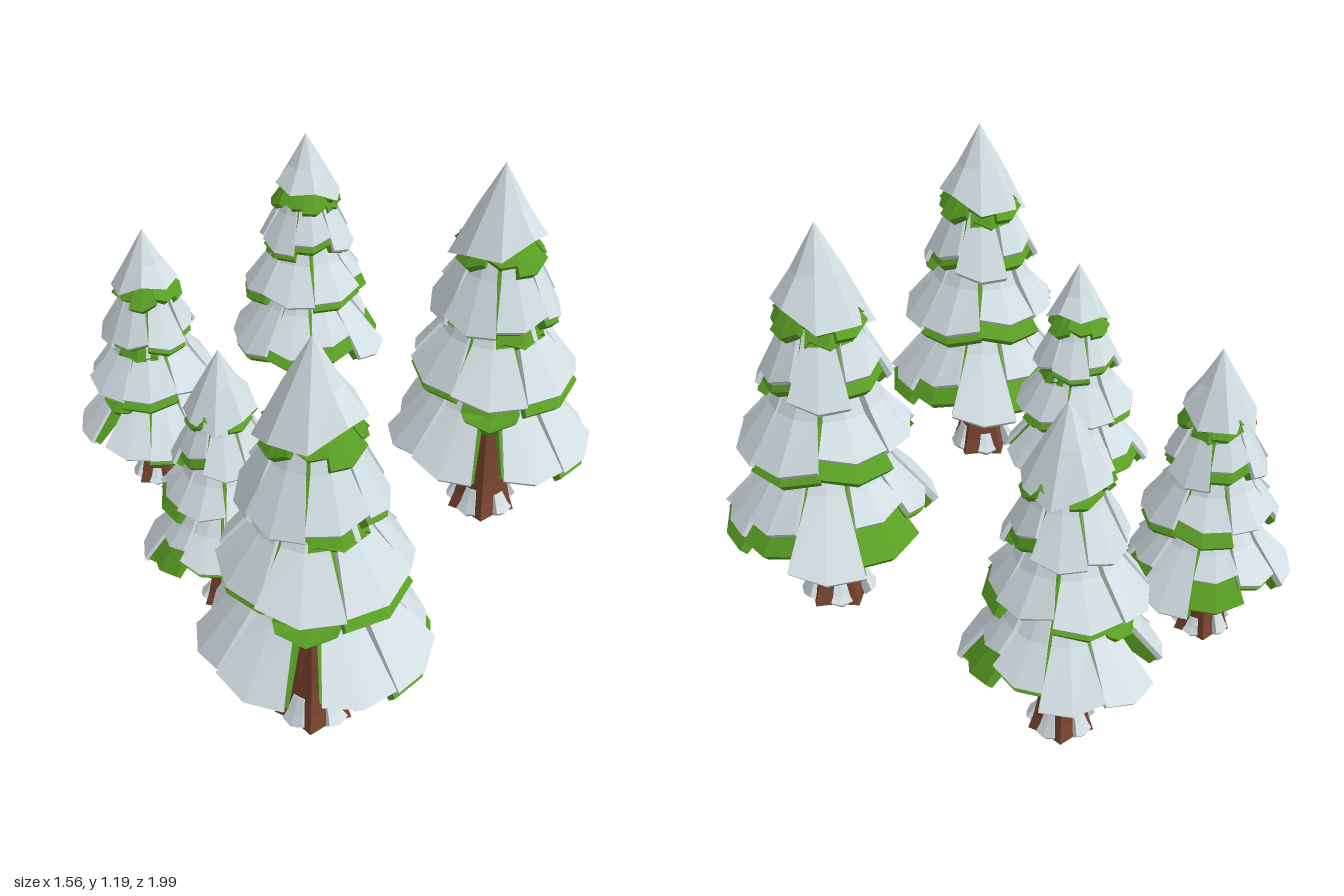
import * as THREE from 'three';
import { mergeGeometries } from 'three/addons/utils/BufferGeometryUtils.js';

const mat = (name, color) => {
  const m = new THREE.MeshStandardMaterial({ color, flatShading: true });
  m.name = name;
  return m;
};
const snow = mat('snow', 0xd3dfe4);
const needles = mat('needle green', 0x5aa024);
const bark = mat('bark brown', 0x7a452f);

const rad = THREE.MathUtils.degToRad;
const lerp = THREE.MathUtils.lerp;

function facet(geometry) {
  const g = geometry.toNonIndexed();
  g.deleteAttribute('uv');
  g.computeVertexNormals();
  return g;
}

// A thick curved slab between two angles (0 = front, 90 = +x), following a
// three-point [radius, height] profile from top to rim. Belly thickens the
// middle, tilt slants the rim, lift raises its corners.
function slab(a0, a1, profile, { out = 0, thick = 0.02, belly = 0, taper = 1, lift = 0.015, tilt = 0 } = {}) {
  const g = new THREE.BoxGeometry(1, 1, 1, 2, 2, 1);
  const p = g.attributes.position;
  for (let i = 0; i < p.count; i++) {
    const x = p.getX(i), row = Math.round((0.5 - p.getY(i)) * 2);
    const off = p.getZ(i) > 0 ? out : out - thick - (row === 1 ? belly : 0);
    let [r, y] = profile[row];
    if (row === 2) {
      y += x * tilt;
      if (Math.abs(x) > 0.4) { r *= 0.98; y += lift; }
    }
    r = Math.max(0.004, r + off * 0.7);
    y += off * 0.7;
    const a = rad((a0 + a1) / 2 + x * (a1 - a0) * lerp(taper, 1, row / 2));
    p.setXYZ(i, r * Math.sin(a), y, r * Math.cos(a));
  }
  return facet(g);
}

// Profile whose lower half is stretched or cut to k of its length
function reach([top, mid, rim], k) {
  return [top, mid, [lerp(mid[0], rim[0], k), lerp(mid[1], rim[1], k)]];
}

// Tiers from bottom to top: first angle, gap at the front, bough lengths, how
// much of each bough the snow covers, and a bald patch [angle, half width, length]
const TIERS = [
  { profile: [[0.07, 0.58], [0.165, 0.42], [0.292, 0.262]], start: 9, gap: 18,
    lengths: [0.95, 1.08, 1.06, 0.92, 1.1, 0.98, 0.72, 0.92, 0.95],
    cover: [1.05, 0.95, 0.82, 0.7, 1.05, 0.5, 0.95, 1.03, 1.05], bald: [0, 21, 0.22] },
  { profile: [[0.06, 0.8], [0.14, 0.63], [0.24, 0.495]], start: -28, gap: 0,
    lengths: [0.98, 1.15, 0.95, 1.05, 1, 0.72, 0.98],
    cover: [1.05, 0.85, 1.04, 0.88, 0.7, 1.05, 0.92], bald: [32, 24, 0.05] },
  { profile: [[0.045, 0.98], [0.105, 0.825], [0.175, 0.69]], start: -52, gap: 0,
    lengths: [1, 0.92, 1.1, 0.88, 1.04, 0.86, 1],
    cover: [1.05, 1.03, 0.92, 0.85, 1.05, 0.75, 1.04], bald: [195, 24, 0.05] },
  { profile: [[0.02, 1.05], [0.074, 0.95], [0.132, 0.868]], start: -22, gap: 0,
    lengths: [0.85, 1.15, 0.95, 1.12, 0.85, 1.1, 0.85, 1.05] },
];

function tierParts({ profile, start, gap, lengths, cover, bald }) {
  const green = [], white = [];
  const step = (360 - gap) / lengths.length;
  lengths.forEach((len, i) => {
    const a0 = start + i * step, a1 = a0 + step;
    const tilt = i % 2 ? 0.022 : -0.022;
    green.push(slab(a0 - 1, a1 + 1, reach(profile, len), { thick: 0.03, belly: 0.04, tilt }));
    if (cover)
      white.push(slab(a0, a1, reach(profile, len * cover[i]),
        { out: i % 2 ? 0.02 : 0.015, thick: 0.022, taper: 0.78, tilt }));
  });
  // Green showing through the snow
  if (bald) {
    const [a, w, k] = bald;
    green.push(slab(a - w, a + w, reach(profile, k), { out: 0.024, thick: 0.055, taper: 1.6, lift: 0.025 }));
  }
  return { green: mergeGeometries(green), white: cover ? mergeGeometries(white) : null };
}

// Pointed snow cap whose uneven rim droops towards the back left
function capGeometry() {
  const g = new THREE.ConeGeometry(0.13, 1, 8, 2);
  const p = g.attributes.position;
  for (let i = 0; i < p.count; i++) {
    const x = p.getX(i), y = p.getY(i), z = p.getZ(i);
    const onAxis = Math.hypot(x, z) < 0.01;
    if (onAxis) p.setXYZ(i, 0, y > 0 ? 1.135 : 0.96, 0);
    else if (y > -0.1) p.setXYZ(i, x * 1.08, 1.01, z * 1.08);
    else {
      const a = Math.atan2(x, z);
      const droop = 0.035 * Math.cos(a - rad(255)) + 0.013 * Math.cos(4 * a);
      const k = 1.02 + droop * 1.8;
      p.setXYZ(i, x * k, 0.905 - droop, z * k);
    }
  }
  return facet(g);
}

// Trunk flaring into alternating roots
function trunkGeometry() {
  const rows = [[0.035, 0.55], [0.055, 0.3], [0.067, 0.12], [0.078, 0.05], [0.09, 0]];
  const g = new THREE.CylinderGeometry(1, 1, 1, 10, 4);
  const p = g.attributes.position;
  for (let i = 0; i < p.count; i++) {
    const x = p.getX(i), z = p.getZ(i);
    const row = Math.round((0.5 - p.getY(i)) * 4);
    const side = Math.round(Math.atan2(x, z) / (Math.PI / 5)) + 10;
    const flare = row > 1 ? 1 + (side % 2 ? -0.04 : 0.04) * row : 1;
    const r = rows[row][0] * flare;
    p.setXYZ(i, x * r, rows[row][1], z * r);
  }
  return facet(g);
}

// Snow lying on every second root
function rootSnowGeometry() {
  const patches = [];
  for (let i = 0; i < 5; i++) {
    const a = -28 + i * 72, h = i % 2 ? 0.07 : 0.09;
    patches.push(slab(a - 17, a + 17, [[0.07, h], [0.09, h * 0.5], [0.105, 0.014]],
      { out: 0.004, thick: 0.03, taper: 0.75, lift: 0.008 }));
  }
  return mergeGeometries(patches);
}

export function createModel() {
  const model = new THREE.Group();
  model.name = 'snowy pine grove';

  const parts = [['trunk', bark, trunkGeometry()], ['rootSnow', snow, rootSnowGeometry()],
    ['snowCap', snow, capGeometry()]];
  TIERS.forEach((tier, i) => {
    const { green, white } = tierParts(tier);
    parts.push([`boughsTier${i + 1}`, needles, green]);
    if (white) parts.push([`snowTier${i + 1}`, snow, white]);
  });

  // x, base height, z, scale, turn in degrees
  const trees = [
    [0.045, 0.02, 0.71, 1, 0], [0.48, 0.055, -0.15, 1, 0], [-0.55, 0, -0.28, 0.775, -40],
    [-0.235, 0.03, 0.32, 0.728, 90], [-0.115, 0.065, -0.74, 0.824, -113],
  ];
  trees.forEach(([x, y, z, s, turn], i) => {
    const tree = new THREE.Group();
    tree.name = `pineTree${i + 1}`;
    for (const [name, material, g] of parts) {
      const mesh = new THREE.Mesh(g, material);
      mesh.name = name;
      tree.add(mesh);
    }
    tree.position.set(x, y, z);
    tree.scale.setScalar(s);
    tree.rotation.y = rad(turn);
    model.add(tree);
  });
  return model;
}
